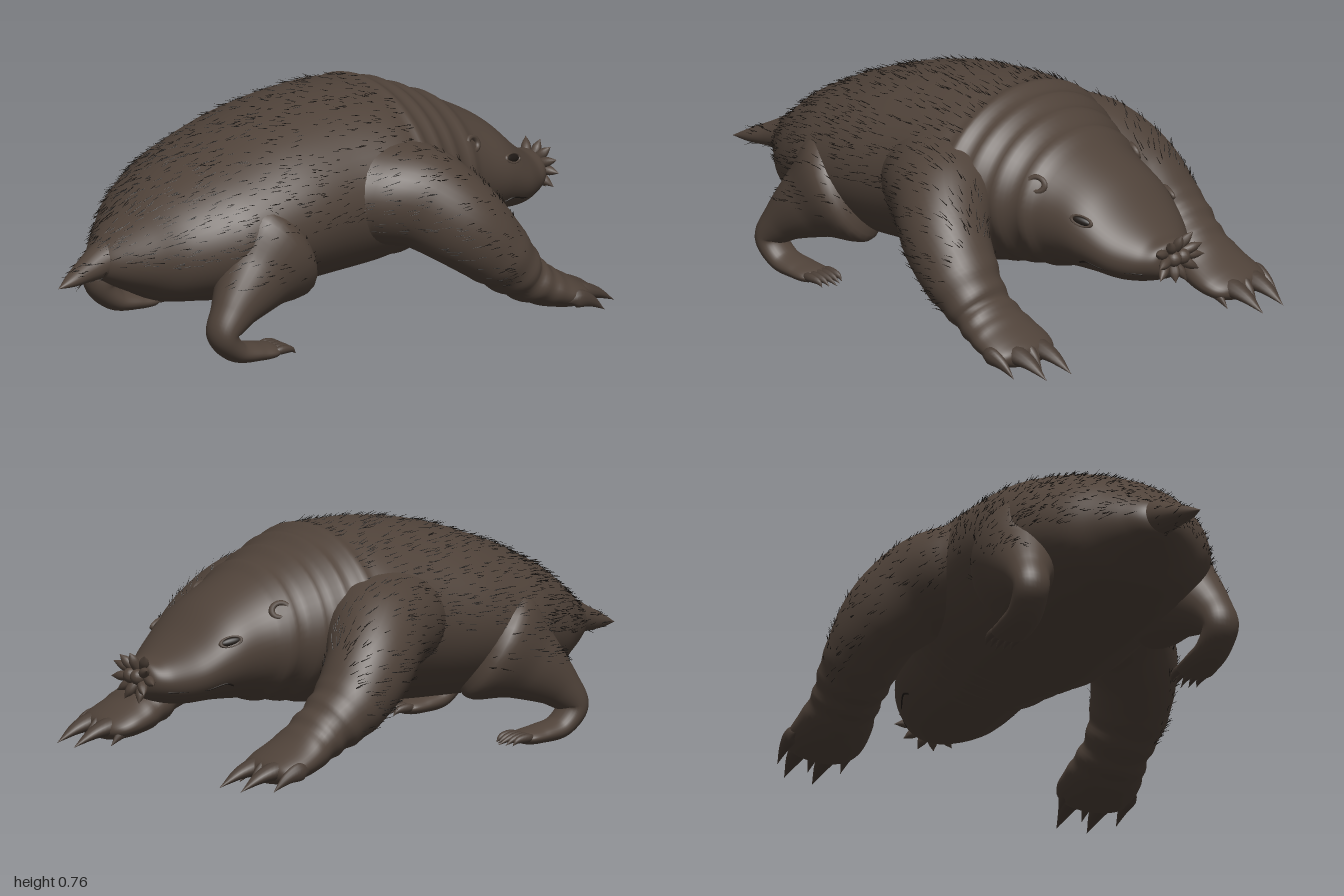
import * as THREE from 'three';
import { mergeGeometries } from 'three/addons/utils/BufferGeometryUtils.js';

const V = (x, y, z) => new THREE.Vector3(x, y, z);

// Smooth skin through elliptical sections [x, y, z, halfWidth, halfHeight].
// ref sets the sideways axis; flat keeps every ring upright across z.
function loft(sections, { ref = 'x', flat = false, steps = 40, sides = 24, fold = () => 0 } = {}) {
  const path = new THREE.CatmullRomCurve3(sections.map(s => V(s[0], s[1], s[2])), false, 'catmullrom', 0.5);
  const size = new THREE.CatmullRomCurve3(sections.map(s => V(s[3], s[4], 0)), false, 'catmullrom', 0.5);
  const pos = [], idx = [];
  for (let i = 0; i <= steps; i++) {
    const u = i / steps, c = path.getPoint(u), r = size.getPoint(u);
    const t = flat ? V(0, 0, -1) : path.getTangent(u);
    const side = ref === 'x' ? V(1, 0, 0).addScaledVector(t, -t.x).normalize() : V(0, 1, 0).cross(t).normalize();
    const up = t.clone().cross(side), k = fold(c);
    for (let j = 0; j < sides; j++) {
      const a = j / sides * Math.PI * 2;
      const p = c.clone()
        .addScaledVector(side, (Math.max(r.x, 0.0005) + k) * Math.cos(a))
        .addScaledVector(up, (Math.max(r.y, 0.0005) + k) * Math.sin(a));
      pos.push(p.x, p.y, p.z);
      if (i < steps) {
        const j2 = (j + 1) % sides, A = i * sides + j, B = i * sides + j2;
        idx.push(A, B, A + sides, B, B + sides, A + sides);
      }
    }
  }
  const g = new THREE.BufferGeometry();
  g.setAttribute('position', new THREE.Float32BufferAttribute(pos, 3));
  g.setIndex(idx);
  g.computeVertexNormals();
  return g;
}

let seed = 7;
const rnd = () => (seed = (seed * 16807) % 2147483647) / 2147483647;

// Fine bristles swept back over a skin, kept where test(point, normal) holds
function bristles(skin, count, test) {
  const p = skin.attributes.position, n = skin.attributes.normal, ix = skin.index, out = [];
  for (let tries = 0; out.length < count && tries < count * 20; tries++) {
    const f = Math.floor(rnd() * ix.count / 3) * 3;
    let a = rnd(), b = rnd();
    if (a + b > 1) { a = 1 - a; b = 1 - b; }
    const mix = attr => [1 - a - b, a, b].reduce((s, w, k) =>
      s.addScaledVector(V(0, 0, 0).fromBufferAttribute(attr, ix.getX(f + k)), w), V(0, 0, 0));
    const at = mix(p), nm = mix(n).normalize();
    if (!test(at, nm)) continue;
    const len = 0.025 + rnd() * 0.02;
    const along = V(0, 0, 1).addScaledVector(nm, -nm.z).normalize();
    const dir = along.add(V((rnd() - 0.5) * 0.25, (rnd() - 0.5) * 0.2, 0))
      .addScaledVector(nm, 0.15 + rnd() * 0.4).normalize();
    const g = new THREE.ConeGeometry(0.002, len, 3, 1, true).translate(0, len / 2 - 0.004, 0);
    g.applyQuaternion(new THREE.Quaternion().setFromUnitVectors(V(0, 1, 0), dir));
    out.push(g.translate(at.x, at.y, at.z));
  }
  return mergeGeometries(out);
}

export function createModel() {
  seed = 7;
  const model = new THREE.Group();
  const mat = (name, color) => Object.assign(new THREE.MeshStandardMaterial({ color }), { name });
  const skin = mat('brown skin', 0x4f4239);
  const clawMat = mat('claw brown', 0x493d35);
  const hairMat = mat('dark bristle', 0x1c1713);
  const eyeMat = mat('eye black', 0x1f1915);
  const add = (name, geo, m = skin, parent = model) => {
    const mesh = new THREE.Mesh(geo, m);
    mesh.name = name;
    parent.add(mesh);
    return mesh;
  };

  // Body and head in one skin, with folds around the neck
  const bodySections = [
    [0.01, 0.33, 0.82, 0, 0], [0, 0.325, 0.8, 0.06, 0.048], [0, 0.33, 0.75, 0.12, 0.09],
    [0, 0.34, 0.68, 0.19, 0.137], [0, 0.352, 0.6, 0.265, 0.187], [0, 0.372, 0.5, 0.325, 0.222],
    [0, 0.39, 0.4, 0.365, 0.25], [0, 0.425, 0.2, 0.39, 0.285], [0, 0.447, 0, 0.39, 0.302],
    [0, 0.457, -0.2, 0.4, 0.297], [0, 0.457, -0.32, 0.36, 0.275], [0, 0.44, -0.45, 0.3, 0.24],
    [0, 0.412, -0.6, 0.248, 0.198], [0, 0.38, -0.72, 0.228, 0.16], [0, 0.333, -0.82, 0.19, 0.115],
    [0, 0.31, -0.9, 0.128, 0.078], [0, 0.315, -0.955, 0.08, 0.055], [0, 0.32, -0.965, 0, 0]];
  const folds = [-0.28, -0.36, -0.44, -0.53];
  const fold = c => folds.reduce((s, z) => s + 0.012 * Math.exp(-(((c.z - z) / 0.022) ** 2)), 0);
  const bodyGeo = loft(bodySections, { flat: true, steps: 170, sides: 56, fold });
  add('body', bodyGeo);
  add('bodyBristles', bristles(bodyGeo, 1250, (p, n) =>
    p.z > -0.27 && p.z < 0.78 && n.y > -0.1 && rnd() > (p.z - 0.35) * 1.9), hairMat);

  // Half-width of the head at a given height and depth
  const skinX = (y, z) => {
    const i = bodySections.findIndex(s => s[2] <= z), A = bodySections[i - 1], B = bodySections[i];
    const m = A.map((v, k) => v + (B[k] - v) * (z - A[2]) / (B[2] - A[2]));
    return m[3] * Math.sqrt(Math.max(0, 1 - ((y - m[1]) / m[4]) ** 2));
  };

  // Tail
  const tailGeo = loft([[0, 0.335, 0.68, 0.1, 0.095], [0.005, 0.332, 0.77, 0.068, 0.064],
    [0.02, 0.315, 0.85, 0.046, 0.042], [0.04, 0.297, 0.93, 0.027, 0.022], [0.055, 0.284, 0.995, 0, 0]]);
  add('tail', tailGeo);
  add('tailBristles', bristles(tailGeo, 45, p => p.z > 0.76 && p.z < 0.92), hairMat);

  // Star of fleshy feelers round the snout tip, long and short in turn
  const star = new THREE.Group();
  star.name = 'noseStar';
  model.add(star);
  for (let i = 0; i < 11; i++) {
    const a = i / 11 * Math.PI * 2 + Math.PI / 2, cx = Math.cos(a), cy = Math.sin(a);
    const long = i % 2 ? 1 : 0.88, dz = i % 2 ? 0.012 : 0;
    const at = (r, z, w) => [cx * r * 1.32 * long, 0.322 + cy * r * long, z, w, w];
    const g = loft([at(0.015, -0.945, 0.014), at(0.04, -0.965 + dz, 0.017), at(0.065, -0.978 + dz, 0.015),
      at(0.09, -0.99 + dz, 0.0)], { ref: Math.abs(cx) > 0.7 ? 'y' : 'x', steps: 12, sides: 10 });
    add('feeler', g, skin, star);
  }
  for (const s of [-1, 1]) {
    const nostril = add('nostril', new THREE.SphereGeometry(0.026, 16, 12), skin, star);
    nostril.position.set(s * 0.02, 0.322, -0.972);
  }

  for (const s of [-1, 1]) {
    const sideName = s > 0 ? 'left' : 'right';
    const flip = list => list.map(([x, ...rest]) => [x * s, ...rest]);

    // Eyes, lids, ears and mouth
    const face = (name, geo, y, z, scale, m, out = 0) => {
      const mesh = add(sideName + name, geo, m);
      mesh.position.set(s * (skinX(y, z) + out), y, z);
      mesh.scale.set(...scale);
      mesh.rotation.set(-0.2, s * 0.3, s * 0.35);
    };
    const ring = (r, t) => new THREE.TorusGeometry(r, t, 8, 24).rotateY(Math.PI / 2);
    face('Eye', new THREE.SphereGeometry(1, 20, 14), 0.44, -0.73, [0.008, 0.013, 0.034], eyeMat);
    face('Eyelid', ring(0.036, 0.007), 0.44, -0.73, [1, 0.45, 1], skin);
    face('Ear', ring(0.026, 0.01), 0.53, -0.55, [1, 0.9, 1.1], skin);
    const lip = [[0.275, -0.91], [0.28, -0.86], [0.285, -0.8], [0.302, -0.74], [0.292, -0.71]]
      .map(([y, z]) => V(s * (skinX(y, z) - 0.001), y, z));
    add(sideName + 'Mouth', new THREE.TubeGeometry(new THREE.CatmullRomCurve3(lip), 24, 0.004, 6), eyeMat);

    // Digging arm, flared into the shoulder, with a broad hand
    const dz = s > 0 ? 0.02 : -0.015;
    const armGeo = loft(flip([[0.1, 0.45, -0.14, 0, 0], [0.2, 0.45, -0.16, 0.26, 0.2],
      [0.29, 0.455, -0.2, 0.215, 0.178], [0.37, 0.43, -0.265, 0.17, 0.168], [0.45, 0.35, -0.355, 0.145, 0.148],
      [0.482, 0.245, -0.46, 0.13, 0.118], [0.48, 0.155, -0.57 + dz, 0.116, 0.085],
      [0.48, 0.1, -0.66 + dz, 0.131, 0.068], [0.482, 0.07, -0.74 + dz, 0.133, 0.052],
      [0.483, 0.055, -0.79 + dz, 0.1, 0.035], [0.485, 0.05, -0.815 + dz, 0, 0]]), { ref: 'y', steps: 100, sides: 40,
      fold: c => 0.004 * Math.sin(c.z * 105) * Math.exp(-(((c.z + 0.55) / 0.08) ** 2)) });
    add(sideName + 'FrontLeg', armGeo);
    add(sideName + 'FrontLegBristles',
      bristles(armGeo, 230, (p, n) => Math.abs(p.x) > 0.36 && p.z > -0.5 && (n.y > 0 || n.x * s > 0.6)), hairMat);

    // Hand claws [x, start z, tip z, width]
    for (const [x, z0, z1, w] of [[0.385, -0.72, -0.81, 0.022], [0.433, -0.765, -0.925, 0.036],
      [0.538, -0.765, -0.915, 0.036], [0.603, -0.72, -0.83, 0.022], [0.486, -0.77, -0.845, 0.022]]) {
      const g = loft(flip([[x, 0.065, z0 + 0.04 + dz, 0, 0], [x, 0.07, z0 + dz, w, 0.03],
        [x, 0.052, (z0 + z1) / 2 + dz, w * 0.75, 0.02], [x, 0.012, z1 + dz, 0, 0]]), { steps: 16, sides: 12 });
      add(sideName + 'FrontClaw', g, clawMat);
    }

    // Hind leg folded under, thigh sunk into the flank, heel back and toes forward
    const legGeo = loft(flip([[0.21, 0.4, 0.17, 0, 0], [0.25, 0.345, 0.28, 0.165, 0.2],
      [0.3, 0.26, 0.4, 0.118, 0.13], [0.332, 0.18, 0.495, 0.075, 0.075], [0.342, 0.115, 0.54, 0.062, 0.05],
      [0.338, 0.052, 0.49, 0.06, 0.038], [0.335, 0.034, 0.41, 0.064, 0.03], [0.335, 0.028, 0.345, 0.058, 0.022],
      [0.335, 0.025, 0.315, 0, 0]]), { steps: 70, sides: 28 });
    add(sideName + 'HindLeg', legGeo);
    add(sideName + 'ThighBristles',
      bristles(legGeo, 60, (p, n) => p.y > 0.27 && Math.abs(p.x) > 0.34 && n.x * s > 0.2), hairMat);
    for (let k = -2; k <= 2; k++) {
      const x = 0.335 + k * 0.023, tip = 0.25 + Math.abs(k) * 0.012;
      add(sideName + 'HindClaw', loft(flip([[x, 0.03, 0.37, 0, 0], [x, 0.034, 0.34, 0.013, 0.014],
        [x, 0.03, 0.295, 0.01, 0.011], [x, 0.012, tip, 0, 0]]), { steps: 12, sides: 10 }), clawMat);
    }
  }
  return model;
}
